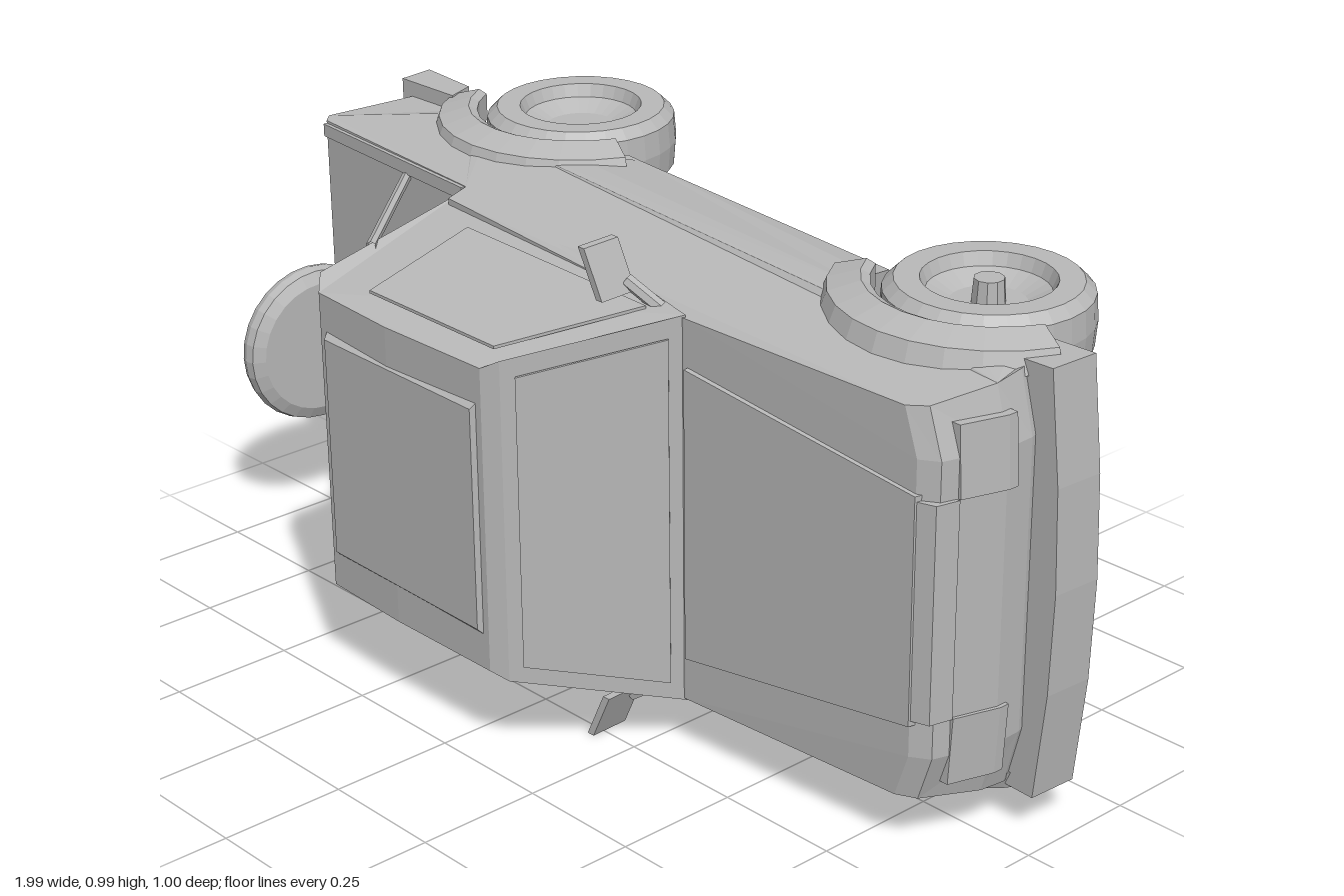
import * as THREE from 'three';

// Pickup truck lying on its side: nose to +x, roof to +z, width along y.
export function createModel() {
  const paint = new THREE.MeshStandardMaterial({ color: 0xb8b8b8, side: THREE.DoubleSide });
  paint.name = 'grey';
  const truck = new THREE.Group();
  truck.name = 'truck';

  const flat = (geo) => {
    const g = geo.index ? geo.toNonIndexed() : geo;
    g.computeVertexNormals();
    return g;
  };
  const add = (name, geo) => {
    const mesh = new THREE.Mesh(flat(geo), paint);
    mesh.name = name;
    truck.add(mesh);
  };
  // Copy to the other side of y = 0 and restore the winding
  const mirrored = (geo) => {
    const g = flat(geo).clone();
    const p = g.attributes.position;
    const a = new THREE.Vector3(), b = new THREE.Vector3();
    g.scale(1, -1, 1);
    for (let i = 0; i < p.count; i += 3) {
      a.fromBufferAttribute(p, i + 1);
      b.fromBufferAttribute(p, i + 2);
      p.setXYZ(i + 1, b.x, b.y, b.z);
      p.setXYZ(i + 2, a.x, a.y, a.z);
    }
    return g;
  };
  const pair = (name, geo) => {
    add('left' + name, geo);
    add('right' + name, mirrored(geo));
  };
  const warp = (geo, rule) => {
    const p = geo.attributes.position;
    const v = new THREE.Vector3();
    for (let i = 0; i < p.count; i++) {
      rule(v.fromBufferAttribute(p, i));
      p.setXYZ(i, v.x, v.y, v.z);
    }
    return geo;
  };
  // Side outline in (x, z), extruded across the width from y0 to y1
  const slab = (outline, y0, y1) => {
    const shape = new THREE.Shape(outline.map(([x, z]) => new THREE.Vector2(x, z)));
    return new THREE.ExtrudeGeometry(shape, { depth: y1 - y0, bevelEnabled: false })
      .rotateX(Math.PI / 2).translate(0, y1, 0);
  };
  const box = (x0, x1, y0, y1, z0, z1) => new THREE.BoxGeometry(x1 - x0, y1 - y0, z1 - z0)
    .translate((x0 + x1) / 2, (y0 + y1) / 2, (z0 + z1) / 2);
  // slab() turns the outline's z upside down, so it is turned back here
  const rod = (a, b, r) => new THREE.TubeGeometry(
    new THREE.LineCurve3(new THREE.Vector3(...a), new THREE.Vector3(...b)), 1, r, 6);

  // Lower body: full-length core plus side panels with wheel arches
  const axles = [{ name: 'Rear', x: -0.505, z: -0.305 }, { name: 'Front', x: 0.667, z: -0.215 }];
  const top = [[0.9, -0.15], [0.935, -0.03], [0.935, 0.03], [0.895, 0.15], [0.86, 0.172], [0.33, 0.2],
    [-0.385, 0.14], [-0.395, 0.088], [-0.87, 0.058], [-0.885, 0.04], [-0.865, -0.17]];
  add('bodyCore', slab([[-0.72, -0.215], [-0.3, -0.245], [0.46, -0.185], ...top], -0.285, 0.285));

  const arch = ({ x, z }, a0, a1) => Array.from({ length: 9 }, (_, i) => {
    const t = (a0 + (a1 - a0) * i / 8) * Math.PI / 180;
    return [x + 0.212 * Math.cos(t), z + 0.212 * Math.sin(t)];
  });
  const panel = slab([...arch(axles[0], 155, 16), [-0.26, -0.242], ...arch(axles[1], 172, 18), ...top], 0.285, 0.41);
  pair('BodySide', warp(panel, (v) => {
    if (v.y < 0.35) return;
    v.y = v.z > -0.05 ? 0.416 - 0.136 * (v.z + 0.05) : 0.416;
    if (v.z < -0.17) v.y = 0.4;
    if (v.x > 0.85) { v.x -= 0.03; v.y -= 0.012; }
  }));

  // Raised hood panel
  const hood = slab([[0.34, 0.19], [0.87, 0.16], [0.865, 0.18], [0.34, 0.21]], -0.29, 0.29);
  add('hood', warp(hood, (v) => { if (v.x > 0.6) v.y *= 0.76; }));

  // Cab, narrowing to the roof
  const cabWidth = (z) => 0.388 - 0.25 * Math.max(0, z - 0.19);
  const cab = slab([[-0.4, 0.09], [0.1, 0.14], [0.33, 0.195], [0.14, 0.462], [0.11, 0.482],
    [-0.15, 0.487], [-0.355, 0.478], [-0.392, 0.445]], -1, 1);
  add('cab', warp(cab, (v) => { v.y = Math.sign(v.y) * (cabWidth(v.z) - (v.z > 0.47 ? 0.012 : 0)); }));
  // Crowned roof skin
  add('roof', warp(slab([[-0.34, 0.47], [0.1, 0.474], [0.09, 0.492], [-0.33, 0.49]], -0.24, 0.24),
    (v) => { if (v.z > 0.48) v.y *= 0.92; }));

  // Side windows and windscreen as thin plates
  const sideGlass = slab([[-0.25, 0.205], [0.25, 0.215], [0.1, 0.44], [-0.25, 0.44]], 0, 0.006);
  pair('SideWindow', warp(sideGlass, (v) => { v.y += cabWidth(v.z) - 0.002; }));
  const screen = slab([[0.315, 0.222], [0.158, 0.442], [0.161, 0.445], [0.318, 0.225]], -1, 1);
  add('windscreen', warp(screen, (v) => { v.y = Math.sign(v.y) * (cabWidth(v.z) - 0.035); }));

  // Fender flares swept around each wheel arch
  const section = [[0.3, 0.385], [0.285, 0.425], [0.225, 0.443], [0.208, 0.435], [0.208, 0.38]];
  const flare = ({ x, z }) => {
    const pos = [], idx = [], n = section.length, steps = 10;
    for (let i = 0; i <= steps; i++) {
      const t = (24 + 131 * i / steps) * Math.PI / 180;
      for (const [r, y] of section) pos.push(x + r * Math.cos(t), y, z + r * Math.sin(t));
    }
    for (let i = 0; i < steps; i++) {
      for (let j = 0; j < n; j++) {
        const a = i * n + j, b = i * n + (j + 1) % n;
        idx.push(a, a + n, b, b, a + n, b + n);
      }
    }
    for (const e of [0, steps * n]) {
      for (let j = 1; j < n - 1; j++) {
        if (e) idx.push(e, e + j + 1, e + j);
        else idx.push(e, e + j, e + j + 1);
      }
    }
    const g = new THREE.BufferGeometry();
    g.setAttribute('position', new THREE.Float32BufferAttribute(pos, 3));
    g.setIndex(idx);
    return g;
  };

  // Wheels with dished rims; front ones carry a hub stub
  const wheelProfile = [[0, -0.07], [0.165, -0.07], [0.188, -0.05], [0.192, 0], [0.188, 0.05], [0.168, 0.07],
    [0.122, 0.07], [0.112, 0.045], [0.07, 0.025], [0, 0.025]].map(([r, y]) => new THREE.Vector2(r, y));
  for (const axle of axles) {
    pair(axle.name + 'Flare', flare(axle));
    pair(axle.name + 'Wheel', new THREE.LatheGeometry(wheelProfile, 28).translate(axle.x, 0.37, axle.z));
    add(axle.name.toLowerCase() + 'Axle', rod([axle.x, -0.31, axle.z], [axle.x, 0.31, axle.z], 0.02));
  }
  pair('FrontHub', new THREE.CylinderGeometry(0.028, 0.032, 0.05, 10).translate(axles[1].x, 0.415, axles[1].z));

  // Spare wheel behind the tailgate
  const spareProfile = [[0, -0.03], [0.14, -0.03], [0.165, -0.018], [0.17, 0], [0.165, 0.018], [0.14, 0.03], [0, 0.03]]
    .map(([r, y]) => new THREE.Vector2(r, y));
  add('spareWheel', new THREE.LatheGeometry(spareProfile, 28)
    .rotateZ(Math.PI / 2).rotateY(-0.09).translate(-0.95, -0.11, 0.06));
  add('spareMount', rod([-0.94, -0.11, 0.04], [-0.86, -0.11, 0.03], 0.03));

  // Front bumper, bowed and wrapped round the corners
  const plan = new THREE.Shape([[0.86, -0.412], [0.962, -0.415], [0.985, -0.2], [0.992, 0], [0.985, 0.2],
    [0.962, 0.415], [0.86, 0.412]].map(([x, y]) => new THREE.Vector2(x, y)));
  const bumper = new THREE.ExtrudeGeometry(plan, { depth: 0.1, bevelEnabled: false }).translate(0, 0, -0.142);
  add('frontBumper', warp(bumper, (v) => { if (v.z < -0.1) v.x += 0.008; }));

  // Headlights and grille lip
  const lamp = slab([[0.9, 0.01], [0.943, 0.01], [0.942, 0.03], [0.912, 0.118], [0.88, 0.118]], 0.21, 0.345);
  pair('Headlight', warp(lamp, (v) => { if (v.y > 0.3) v.x -= 0.008; }));
  add('grilleLip', slab([[0.85, 0.13], [0.912, 0.12], [0.9, 0.165], [0.86, 0.178]], -0.21, 0.21));

  // Rear bumper corners, cross bar and step plate
  pair('RearBumper', slab([[-0.9, -0.235], [-0.76, -0.225], [-0.74, -0.165], [-0.895, -0.16]], 0.2, 0.432));
  add('rearCrossBar', box(-0.885, -0.83, -0.21, 0.21, -0.23, -0.16));
  const step = slab([[-0.87, -0.335], [-0.84, -0.335], [-0.83, -0.2], [-0.88, -0.2]], -0.185, 0.185);
  add('stepPlate', warp(step, (v) => { if (v.z < -0.3) v.y *= 0.54; }));

  // Bed rails and struts leaning on the cab back
  pair('BedStrut', rod([-0.6, 0.365, 0.065], [-0.385, 0.345, 0.33], 0.01));
  pair('BedRail', slab([[-0.87, 0.05], [-0.4, 0.08], [-0.4, 0.096], [-0.87, 0.066]], 0.37, 0.396));

  // Door mirrors on short arms
  pair('MirrorArm', rod([0.27, 0.37, 0.185], [0.2, 0.42, 0.215], 0.013));
  const mirror = box(-0.008, 0.008, 0.4, 0.492, 0.21, 0.29);
  pair('Mirror', warp(mirror, (v) => {
    v.x += 0.2 - 0.42 * (v.y - 0.41);
    if (v.y < 0.45) v.z -= 0.006;
  }));

  // Slight lean of the resting pose
  truck.rotation.set(0.025, 0, -0.012);
  const model = new THREE.Group();
  model.name = 'pickup';
  model.add(truck);
  model.updateMatrixWorld(true);
  truck.position.y = -new THREE.Box3().setFromObject(model, true).min.y;
  return model;
}
